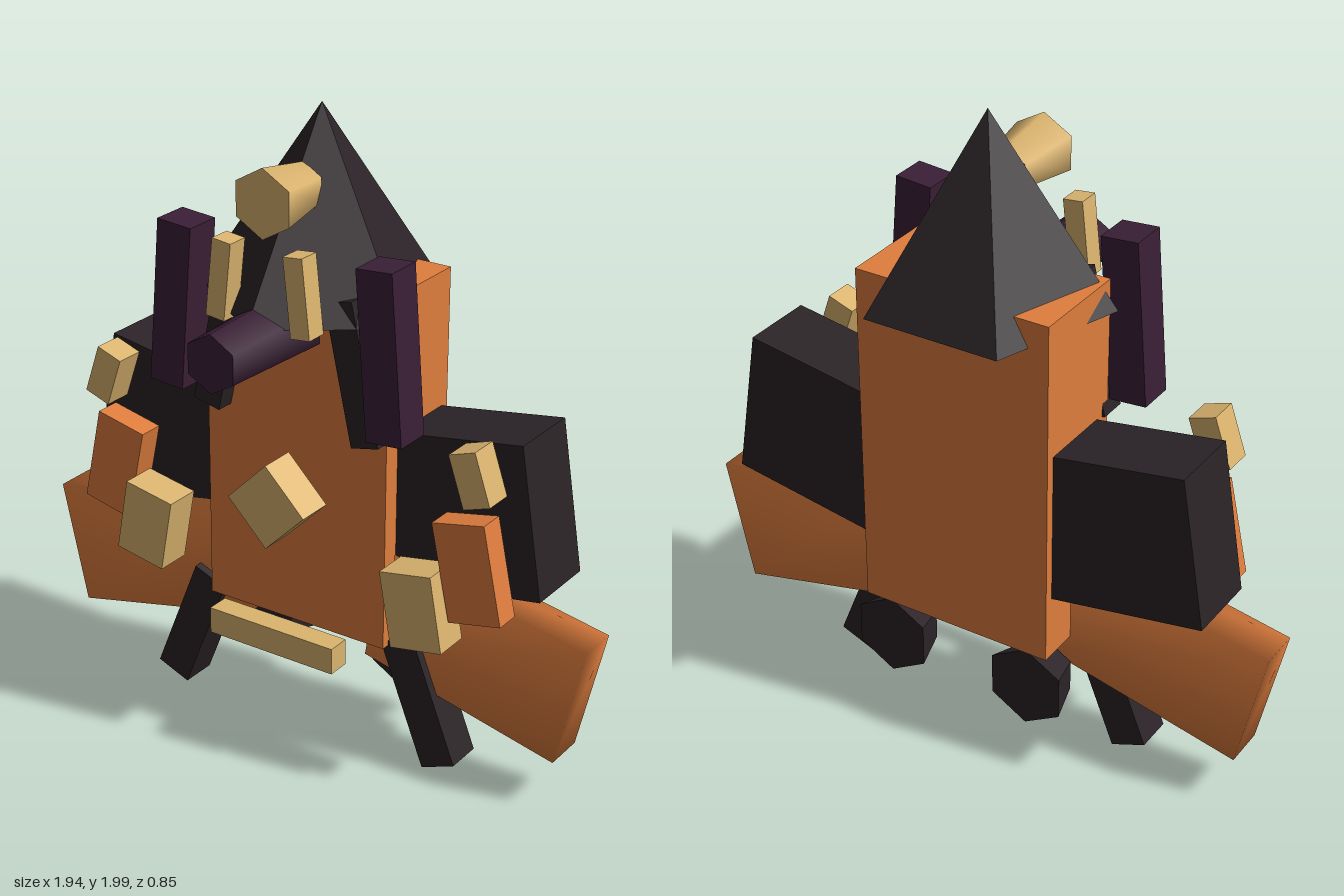
import * as THREE from 'three';
import { mergeVertices } from 'three/addons/utils/BufferGeometryUtils.js';

export function createModel() {
  const model = new THREE.Group();
  const mat = (color, flatShading = true) => new THREE.MeshStandardMaterial({ color, flatShading });
  const orange = mat(0xe07e3e), dark = mat(0x2b2327), purple = mat(0x3a1f36), tan = mat(0xdcb56f);
  const smoothOrange = mat(0xe07e3e, false), smoothTan = mat(0xdcb56f, false), smoothPurple = mat(0x3a1f36, false);

  function add(name, geometry, material, x = 0, y = 0, z = 0, tilt = 0) {
    const mesh = new THREE.Mesh(geometry, material);
    mesh.name = name;
    mesh.position.set(x, y, z);
    mesh.rotation.z = tilt;
    model.add(mesh);
    return mesh;
  }

  // Box given by its centre, size, depth range and tilt in the front plane
  function block(name, material, x, y, w, h, zBack, zFront, tilt = 0) {
    add(name, new THREE.BoxGeometry(w, h, zFront - zBack), material, x, y, (zFront + zBack) / 2, tilt);
  }

  // Same block on both sides; the tilt is given for the left (+x) one
  function pair(name, material, x, ...rest) {
    const tilt = rest.pop();
    block(name + 'Left', material, x, ...rest, tilt);
    block(name + 'Right', material, -x, ...rest, -tilt);
  }

  // Six-sided tapered tube along z, corner pointing up
  function hexTube(name, material, x, y, zBack, zFront, rBack, rFront) {
    const g = new THREE.CylinderGeometry(rFront, rBack, zFront - zBack, 6);
    g.rotateX(Math.PI / 2);
    add(name, g, material, x, y, (zFront + zBack) / 2);
  }

  // Hull and five-sided roof
  block('hull', orange, 0, 0.95, 0.64, 1.12, -0.32, 0.01);
  add('roof', new THREE.ConeGeometry(0.375, 0.575, 5), dark, 0, 1.7125, -0.122);

  // Front details on the centre line
  hexTube('topLamp', smoothTan, 0, 1.775, -0.03, 0.17, 0.072, 0.105);
  hexTube('nose', smoothPurple, 0, 1.38, 0.02, 0.42, 0.105, 0.09);
  block('chestDiamond', tan, 0, 0.835, 0.192, 0.192, 0.045, 0.165, Math.PI / 4);
  block('beltBar', tan, 0, 0.378, 0.45, 0.085, 0.07, 0.145);

  // Mirrored blocks: x, y, width, height, back z, front z, tilt
  pair('browStrip', tan, 0.135, 1.532, 0.065, 0.24, 0.13, 0.2, 0.11);
  pair('strap', dark, 0.235, 1.28, 0.095, 0.44, -0.02, 0.07, 0.22);
  pair('antenna', purple, 0.365, 1.382, 0.12, 0.515, 0.01, 0.13, 0.08);
  pair('sidePod', dark, 0.49, 0.865, 0.57, 0.48, -0.29, -0.05, 0.16);
  pair('upperPlate', tan, 0.653, 1.077, 0.09, 0.165, 0.01, 0.105, 0.33);
  pair('middlePlate', orange, 0.64, 0.77, 0.175, 0.31, 0, 0.083, 0.21);
  pair('lowerPlate', tan, 0.487, 0.622, 0.175, 0.24, 0.015, 0.132, 0.18);
  pair('leg', dark, 0.427, 0.223, 0.12, 0.42, -0.138, -0.018, 0.38);

  for (const side of [1, -1]) {
    const label = side > 0 ? 'Left' : 'Right';

    // Soft-shaded wing: a welded box moved onto a slanted outline
    let g = new THREE.BoxGeometry(1, 1, 0.135);
    g.deleteAttribute('normal');
    g.deleteAttribute('uv');
    g = mergeVertices(g);
    const p = g.attributes.position;
    for (let i = 0; i < p.count; i++) {
      const outer = p.getX(i) * side > 0, top = p.getY(i) > 0;
      const [x, y] = outer ? (top ? [0.97, 0.56] : [0.88, 0.165]) : (top ? [0.28, 0.69] : [0.22, 0.315]);
      p.setXY(i, x * side, y);
    }
    g.computeVertexNormals();
    add('wing' + label, g, smoothOrange, 0, 0, -0.113);

    // Rear thruster, flaring to the back
    hexTube('thruster' + label, dark, side * 0.242, 0.255, -0.308, -0.19, 0.135, 0.1);
  }
  return model;
}
